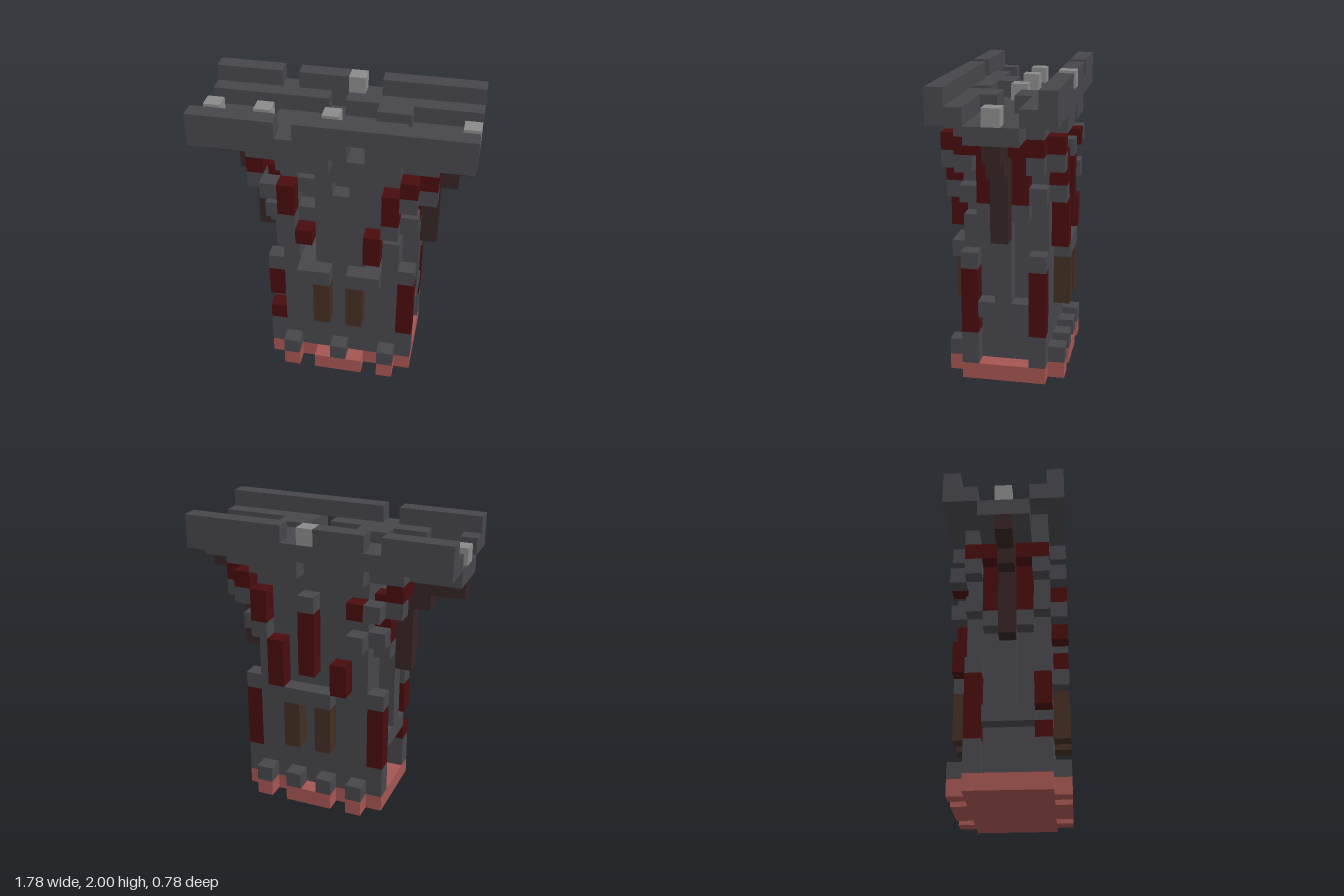
import * as THREE from 'three';

const mat = (name, color) => {
  const m = new THREE.MeshStandardMaterial({ color });
  m.name = name;
  return m;
};

export function createModel() {
  const stone = mat('dark stone', 0x47464b);
  const red = mat('dark red', 0x480d0d);
  const purple = mat('dark purple brown', 0x362424);
  const brown = mat('brown wood', 0x432e22);
  const pink = mat('clay red', 0xa45552);
  const lamp = mat('light grey', 0x8a8a8a);

  // Parts are laid out on a 16 x 18 x 7 grid of cubes
  const model = new THREE.Group();
  model.name = 'tower';
  const blocks = new THREE.Group();
  blocks.name = 'blocks';
  blocks.scale.setScalar(1 / 9);
  blocks.position.set(-8 / 9, 0, -3.5 / 9);
  model.add(blocks);

  const box = (name, m, x0, x1, y0, y1, z0, z1) => {
    const mesh = new THREE.Mesh(new THREE.BoxGeometry(x1 - x0, y1 - y0, z1 - z0), m);
    mesh.position.set((x0 + x1) / 2, (y0 + y1) / 2, (z0 + z1) / 2);
    mesh.name = name;
    blocks.add(mesh);
  };
  // The same box at the front and at the back
  const both = (name, m, x0, x1, y0, y1, z0, z1) => {
    box(name, m, x0, x1, y0, y1, z0, z1);
    box(name, m, x0, x1, y0, y1, 7 - z1, 7 - z0);
  };
  // Upright wall with rectangular holes [x0, x1, y0, y1]
  const wall = (name, outline, holes, z0, z1) => {
    const shape = new THREE.Shape(outline.map(p => new THREE.Vector2(...p)));
    for (const [a, b, c, d] of holes) {
      shape.holes.push(new THREE.Path([[a, c], [a, d], [b, d], [b, c]].map(p => new THREE.Vector2(...p))));
    }
    const mesh = new THREE.Mesh(new THREE.ExtrudeGeometry(shape, { depth: z1 - z0, bevelEnabled: false }), stone);
    mesh.position.z = z0;
    mesh.name = name;
    blocks.add(mesh);
  };

  // Base with teeth and small stones on the teeth
  box('base', pink, 4, 13, 0, 1, 1, 6);
  for (const [a, b] of [[5, 6], [7, 10], [11, 12]]) both('baseTooth', pink, a, b, 0, 1, 6, 7);
  for (const i of [5, 8, 11]) box('frontFootStone', stone, i, i + 1, 1, 2, 6, 7);
  for (const i of [5, 7, 9, 11]) box('backFootStone', stone, i, i + 1, 1, 2, 0, 1);

  // Shaft: front wall, core and back wall, pierced by narrow windows
  const slots = [[6, 7, 8, 10], [10, 11, 8, 9]];
  const plain = [[5, 1], [12, 1], [12, 15], [5, 15]];
  const notched = [[5, 1], [12, 1], [12, 10], [11, 10], [11, 11], [12, 11], [12, 15], [5, 15]];
  const dents = [[8, 9, 13, 14], [6, 7, 12, 13], [6, 7, 14, 14.999]];
  wall('frontWall', notched, [...slots, ...dents], 5, 6);
  wall('core', plain, slots, 2, 5);
  wall('backWall', plain, slots, 1, 2);

  // Corner pillars and the ribs on both sides
  for (const x of [4, 12]) {
    both('pillarFoot', stone, x, x + 1, 1, 3, 5, 6);
    both('pillarCap', stone, x, x + 1, 7, 8, 5, 6);
    box('backPillarPanel', red, x, x + 1, 3, 7, 1, 2);
    box('sideBar', stone, x, x + 1, 4, 5, 2, 5);
    box('sideRib', stone, x, x + 1, 5, x === 4 ? 14 : 15, 3, 4);
    both('sideLedge', stone, x, x + 1, 10, 11, 4, 5);
    both('sidePanel', red, x, x + 1, 11, x === 4 ? 14 : 15, 4, 5);
    both('sideBlock', stone, x, x + 1, 11, 12, 5, 6);
    both('cornerCorbel', stone, x, x + 1, 13, 14, 6, 7);
  }
  box('frontPillarPanel', red, 12, 13, 3, 7, 5, 6);
  box('frontPillarPanel', red, 4, 5, 3, 4, 5, 6);
  box('frontPillarPanel', red, 4, 5, 5, 7, 5, 6);

  // Brown shutters below stone caps
  for (const i of [7, 9]) both('shutter', brown, i, i + 1, 4, 7, 6, 7);
  box('frontCap', stone, 6, 8, 7, 8, 6, 7);
  box('frontCap', stone, 9, 11, 7, 8, 6, 7);
  box('backCap', stone, 8, 10, 7, 8, 0, 1);
  box('backCap', stone, 7, 8, 7, 8, 0, 1);

  // Hanging red banners: [column, bottom, top]
  for (const [i, a, b] of [[5, 12, 14], [6, 10, 11], [10, 9, 11], [11, 12, 14]])
    box('frontBanner', red, i, i + 1, a, b, 6, 7);
  for (const [i, a, b] of [[5, 13, 14], [6, 8, 10], [8, 9, 13], [10, 8, 11], [11, 12, 14]])
    box('backBanner', red, i, i + 1, a, b, 0, 1);
  for (const i of [5, 11]) both('bannerStone', stone, i, i + 1, 11, 12, 6, 7);
  box('backBannerTop', stone, 8, 9, 13, 14, 0, 1);

  // Stepped brackets carrying the platform
  box('leftBracket', purple, 13, 14, 9, 13, 3, 4);
  box('leftBracket', purple, 13, 15, 13, 14, 3, 4);
  box('leftBracket', purple, 13, 16, 14, 15, 3, 4);
  box('rightBracket', purple, 3, 4, 9, 13, 3, 4);
  box('rightBracket', purple, 2, 4, 13, 14, 3, 4);
  box('rightBracket', purple, 0, 4, 14, 15, 3, 4);
  both('leftCorbel', red, 12, 13, 14, 15, 5, 7);
  both('leftCorbel', red, 13, 14, 14, 15, 4, 6);
  both('rightCorbel', red, 3, 4, 14, 15, 4, 6);
  for (const x of [3, 13]) both('corbelStone', stone, x, x + 1, 13, 14, 5, 6);

  // Platform floor with one opening
  box('floor', stone, 0, 16, 15, 16, 3, 5);
  box('floor', stone, 0, 3, 15, 16, 2, 3);
  box('floor', stone, 4, 16, 15, 16, 2, 3);
  both('floorEdge', stone, 3, 14, 15, 16, 5, 6);
  both('floorRim', stone, 5, 8, 15, 16, 6, 7);
  both('floorRim', stone, 9, 12, 15, 16, 6, 7);

  // Raised walkways along the parapets
  for (const [a, b] of [[0, 1], [3, 9], [10, 16]]) box('frontWalkway', stone, a, b, 16, 17, 5, 6);
  for (const [a, b] of [[0, 7], [8, 16]]) box('backWalkway', stone, a, b, 16, 17, 1, 2);
  for (const [a, b] of [[5, 7], [10, 12]]) box('walkwayStep', stone, a, b, 16, 17, 4, 5);
  box('walkwayStep', stone, 10, 12, 16, 17, 2, 3);

  // Parapets
  box('frontParapet', stone, 0, 9, 16, 17, 6, 7);
  box('frontParapet', stone, 10, 16, 16, 17, 6, 7);
  for (const [a, b] of [[0, 5], [6, 16]]) box('frontBattlement', stone, a, b, 17, 18, 6, 7);
  box('backParapet', stone, 0, 16, 16, 17, 0, 1);
  for (const [a, b] of [[0, 4], [5, 8], [10, 16]]) box('backBattlement', stone, a, b, 17, 18, 0, 1);

  // Pale lamp stones
  for (const i of [0, 3, 7, 15]) box('lampStone', lamp, i, i + 1, 16, 17, 3, 4);
  box('lampStone', lamp, 8, 9, 17, 18, 0, 1);

  return model;
}
